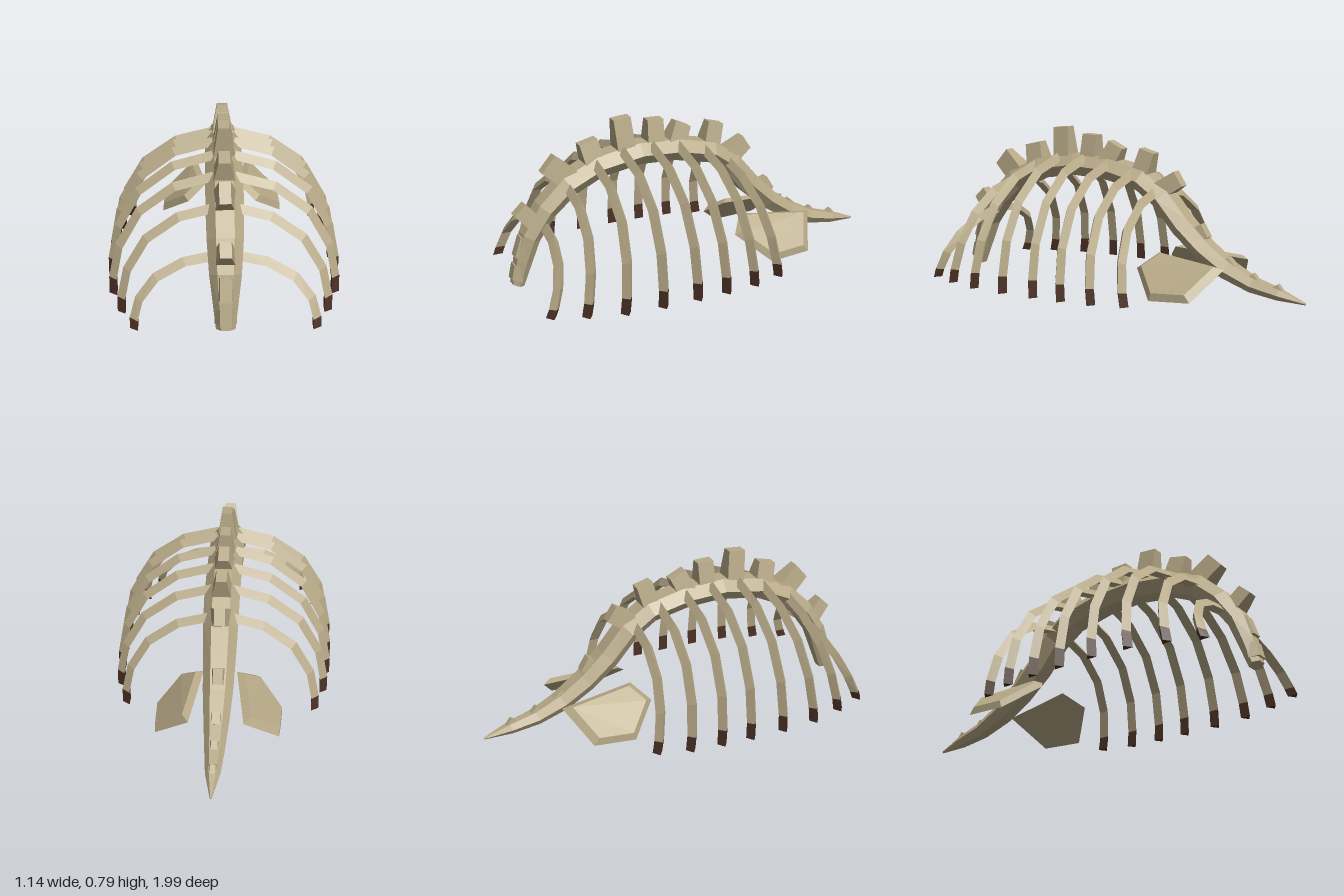
import * as THREE from 'three';

const bone = new THREE.MeshStandardMaterial({ color: 0xb8aa88, flatShading: true });
bone.name = 'bone';
const darkTip = new THREE.MeshStandardMaterial({ color: 0x4b3024, flatShading: true });
darkTip.name = 'darkTip';

const V = (x, y, z) => new THREE.Vector3(x, y, z);

// Closed, flat-shaded solid lofted through rings with equal corner counts
function loft(rings) {
  const n = rings[0].length;
  const tris = [];
  for (let i = 0; i < rings.length - 1; i++) {
    for (let j = 0; j < n; j++) {
      const k = (j + 1) % n;
      const a = rings[i][j], b = rings[i][k], c = rings[i + 1][k], d = rings[i + 1][j];
      tris.push([a, b, c], [a, c, d]);
    }
  }
  const first = rings[0], last = rings[rings.length - 1];
  for (let j = 1; j < n - 1; j++) {
    tris.push([first[0], first[j + 1], first[j]], [last[0], last[j], last[j + 1]]);
  }
  // Turn the faces outward if the enclosed volume is negative
  const origin = first[0];
  let volume = 0;
  for (const [a, b, c] of tris) {
    const u = a.clone().sub(origin), v = b.clone().sub(origin), w = c.clone().sub(origin);
    volume += u.dot(v.cross(w));
  }
  const pts = tris.flatMap(([a, b, c]) => (volume < 0 ? [a, c, b] : [a, b, c]));
  const geometry = new THREE.BufferGeometry().setFromPoints(pts);
  geometry.computeVertexNormals();
  return geometry;
}

function add(group, name, rings, material = bone) {
  const mesh = new THREE.Mesh(loft(rings), material);
  mesh.name = name;
  group.add(mesh);
}

// Arched backbone: z, y, half width, half height
function addBackbone(group) {
  const path = [
    [0.96, 0.008, 0.045, 0.03], [0.925, 0.13, 0.06, 0.04], [0.885, 0.25, 0.075, 0.045],
    [0.80, 0.38, 0.085, 0.05], [0.68, 0.49, 0.09, 0.055], [0.52, 0.565, 0.09, 0.055],
    [0.30, 0.60, 0.09, 0.055], [0.10, 0.59, 0.09, 0.055], [-0.10, 0.545, 0.09, 0.055],
    [-0.22, 0.46, 0.088, 0.055], [-0.33, 0.33, 0.082, 0.055], [-0.45, 0.22, 0.075, 0.05],
    [-0.58, 0.13, 0.063, 0.045], [-0.72, 0.068, 0.05, 0.036], [-0.86, 0.036, 0.037, 0.027],
    [-1.0, 0.005, 0.005, 0.005],
  ];
  const section = [[1, 0], [0.5, 1], [-0.5, 1], [-1, 0], [-0.5, -1], [0.5, -1]];
  const rings = path.map(([z, y, w, h], i) => {
    const p = path[Math.max(i - 1, 0)], q = path[Math.min(i + 1, path.length - 1)];
    const dz = q[0] - p[0], dy = q[1] - p[1], len = Math.hypot(dz, dy);
    const nz = dy / len, ny = -dz / len;
    return section.map(([u, v]) => V(u * w, y + v * h * ny, z + v * h * nz));
  });
  add(group, 'backbone', rings);
}

// Tapered vertebra blocks: top z, top y, base z, base y, length, width scale
function addVertebrae(group) {
  const blocks = [
    [0.985, 0.08, 0.94, 0.07, 0.08, 1], [0.955, 0.21, 0.895, 0.19, 0.11, 1],
    [0.935, 0.40, 0.84, 0.30, 0.08, 1], [0.78, 0.61, 0.67, 0.515, 0.11, 1],
    [0.57, 0.695, 0.545, 0.59, 0.10, 1], [0.39, 0.79, 0.375, 0.62, 0.095, 1],
    [0.21, 0.76, 0.215, 0.62, 0.09, 1], [0.055, 0.715, 0.10, 0.62, 0.095, 1],
    [-0.13, 0.695, -0.095, 0.57, 0.09, 1], [-0.31, 0.565, -0.21, 0.50, 0.09, 1],
    [-0.46, 0.315, -0.37, 0.26, 0.08, 0.9], [-0.61, 0.175, -0.57, 0.13, 0.06, 0.75],
    [-0.74, 0.11, -0.70, 0.075, 0.05, 0.6], [-0.87, 0.072, -0.83, 0.04, 0.045, 0.5],
  ];
  for (const [tz, ty, bz, by, length, scale] of blocks) {
    const dz = tz - bz, dy = ty - by, d = Math.hypot(dz, dy);
    const sz = dy / d, sy = -dz / d;
    const ring = (z, y, halfWidth, halfLength) =>
      [[1, 1], [-1, 1], [-1, -1], [1, -1]].map(([a, b]) =>
        V(a * halfWidth * scale, y + b * halfLength * sy, z + b * halfLength * sz));
    add(group, 'vertebraBlock', [ring(bz, by, 0.052, length * 0.5), ring(tz, ty, 0.027, length * 0.48)]);
  }
}

// Three-sided ribs with an outer ridge: height, half span, z at the top, z at the tip
function addRibs(group) {
  const ribs = [
    [0.335, 0.44, 0.82, 0.93], [0.51, 0.505, 0.69, 0.775], [0.60, 0.555, 0.54, 0.60],
    [0.645, 0.57, 0.395, 0.41], [0.65, 0.57, 0.235, 0.225], [0.63, 0.565, 0.09, 0.065],
    [0.59, 0.55, -0.055, -0.10], [0.51, 0.505, -0.19, -0.26],
  ];
  const curve = [[0.1, 1.015], [0.2, 0.99], [0.445, 0.93], [0.755, 0.72], [0.94, 0.42], [1, 0.14], [1, 0]];
  for (const [height, span, zTop, zTip] of ribs) {
    for (const side of [1, -1]) {
      const pts = curve.map(([x, y]) => [x * span, y * height, zTip + (zTop - zTip) * y]);
      const rings = pts.map(([x, y, z], i) => {
        const p = pts[Math.max(i - 1, 0)], q = pts[Math.min(i + 1, pts.length - 1)];
        const dx = q[0] - p[0], dy = q[1] - p[1], len = Math.hypot(dx, dy);
        const ix = (dy / len) * 0.038, iy = (-dx / len) * 0.038;
        return [
          V(side * x, y, z),
          V(side * (x + ix), y + iy, z + 0.026),
          V(side * (x + ix), y + iy, z - 0.026),
        ];
      });
      const name = side > 0 ? 'leftRib' : 'rightRib';
      add(group, name, rings.slice(0, 6));
      add(group, name + 'Tip', rings.slice(5), darkTip);
    }
  }
}

// Sloping five-sided hip plates with a bevelled upper face
function addHipPlates(group) {
  const outline = [
    [0.135, 0.16, -0.63], [0.31, 0.015, -0.53], [0.32, 0.002, -0.31],
    [0.18, 0.125, -0.165], [0.085, 0.195, -0.24],
  ];
  for (const side of [1, -1]) {
    const lower = outline.map(([x, y, z]) => V(side * x, y, z));
    const centre = lower.reduce((s, p) => s.add(p), V(0, 0, 0)).divideScalar(5);
    const lift = V(side * 0.65, 0.76, 0).multiplyScalar(0.03);
    const upper = lower.map((p) => p.clone().lerp(centre, 0.18).add(lift));
    add(group, side > 0 ? 'leftHipPlate' : 'rightHipPlate', [lower, upper]);
  }
}

export function createModel() {
  const model = new THREE.Group();
  model.name = 'ribCage';
  addBackbone(model);
  addVertebrae(model);
  addRibs(model);
  addHipPlates(model);
  return model;
}
